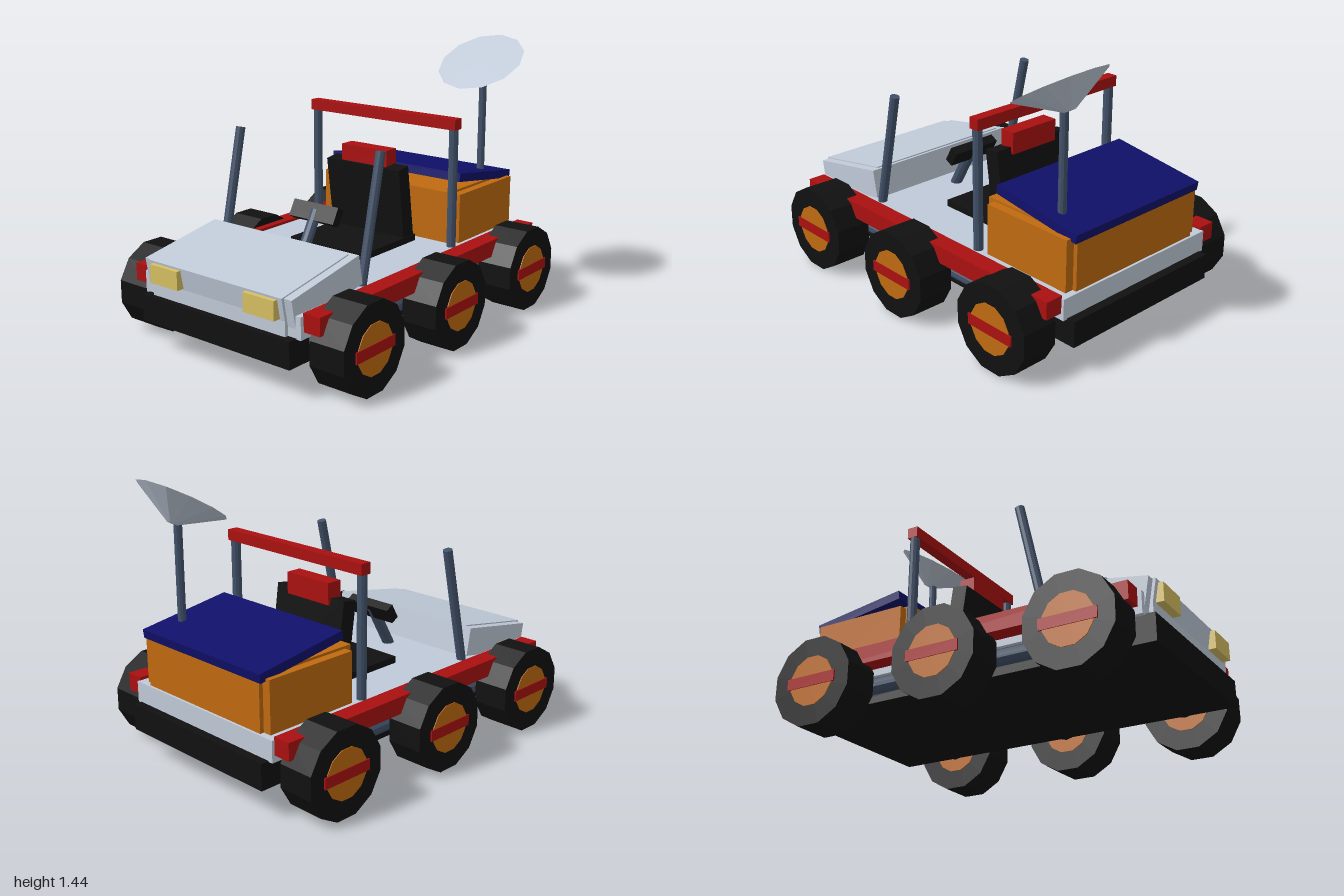
import * as THREE from 'three';

const mat = (name, color) => {
  const m = new THREE.MeshStandardMaterial({ color });
  m.name = name;
  m.flatShading = true;
  return m;
};

export function createModel() {
  const black = mat('black', 0x111111);
  const white = mat('pale grey', 0xc0cad8);
  const red = mat('red', 0xaa1010);
  const orange = mat('orange', 0xc06a10);
  const navy = mat('navy', 0x10106a);
  const steel = mat('steel blue', 0x42526a);
  const yellow = mat('lamp yellow', 0xd8c064);

  const root = new THREE.Group();
  root.name = 'rover';

  const add = (name, geo, material, parent = root) => {
    const m = new THREE.Mesh(geo, material);
    m.name = name;
    parent.add(m);
    return m;
  };
  // Box given by its limits on each axis
  const box = (name, material, [x0, x1], [y0, y1], [z0, z1], parent) => {
    const m = add(name, new THREE.BoxGeometry(x1 - x0, y1 - y0, z1 - z0), material, parent);
    m.position.set((x0 + x1) / 2, (y0 + y1) / 2, (z0 + z1) / 2);
    return m;
  };
  // Box of a given size, tilted about x
  const tilted = (name, material, size, pos, angle) => {
    const m = add(name, new THREE.BoxGeometry(...size), material);
    m.position.set(...pos);
    m.rotation.x = angle;
    return m;
  };
  // Round bar between two points
  const bar = (name, material, a, b, r, sides = 10) => {
    const p = new THREE.Vector3(...a), q = new THREE.Vector3(...b);
    const d = q.clone().sub(p);
    const m = add(name, new THREE.CylinderGeometry(r, r, d.length(), sides), material);
    m.position.copy(p).add(q).multiplyScalar(0.5);
    m.quaternion.setFromUnitVectors(new THREE.Vector3(0, 1, 0), d.normalize());
    return m;
  };
  // Twelve-sided disc with its axis along x and a flat at the bottom
  const disc = (r, w) => new THREE.CylinderGeometry(r, r, w, 12)
    .rotateY(Math.PI / 12).rotateZ(Math.PI / 2);

  // Chassis and deck
  box('chassis', black, [-0.48, 0.48], [0.15, 0.285], [-1, 0.985]);
  box('deck', white, [-0.505, 0.505], [0.28, 0.39], [-0.955, 0.935]);

  // Wheels, axles and side rails
  const wheelRows = [[0.69, 0.632], [0, 0.64], [-0.71, 0.63]];
  for (const [z] of wheelRows) bar('axle', black, [-0.56, 0.222, z], [0.56, 0.222, z], 0.06, 12);
  for (const s of [-1, 1]) {
    for (const [z, x] of wheelRows) {
      const wheel = new THREE.Group();
      wheel.name = 'wheel';
      wheel.position.set(s * x, 0.2225, z);
      add('tyre', disc(0.2304, 0.195), black, wheel);
      add('hub', disc(0.129, 0.203), orange, wheel);
      add('hubBar', new THREE.BoxGeometry(0.211, 0.056, 0.285), red, wheel);
      root.add(wheel);
    }
    const rx = s * 0.55;
    box('sideRail', red, [rx - 0.048, rx + 0.048], [0.315, 0.405], [-0.94, 0.915]);
    bar('lowerTube', steel, [s * 0.485, 0.23, -0.85], [s * 0.485, 0.23, 0.85], 0.04);
    // Front uprights and roll bar posts
    bar('frontUpright', steel, [s * 0.455, 0.385, 0.437], [s * 0.455, 1.015, 0.295], 0.025);
    bar('rollBarPost', steel, [s * 0.455, 0.385, -0.33], [s * 0.455, 1.06, -0.33], 0.025);
    // Headlights
    box('headlight', yellow, [s * 0.308 - 0.094, s * 0.308 + 0.094], [0.365, 0.46], [0.95, 0.997]);
  }
  box('rollBarTop', red, [-0.48, 0.48], [1.018, 1.075], [-0.36, -0.302]);

  // Sloping nose
  const slope = 0.178;
  tilted('hood', white, [0.95, 0.15, 0.485], [0, 0.437, 0.708], slope);
  tilted('hoodPanel', white, [0.86, 0.17, 0.478], [0, 0.43, 0.725], slope);
  box('noseFront', white, [-0.43, 0.43], [0.28, 0.42], [0.85, 0.955]);

  // Steering column and handle
  bar('steeringColumn', steel, [0, 0.38, 0.367], [0, 0.63, 0.225], 0.03);
  tilted('steeringHandle', black, [0.29, 0.09, 0.05], [0, 0.617, 0.23], -0.52);

  // Seat
  box('seatCushion', black, [-0.245, 0.245], [0.385, 0.425], [-0.3, 0.15]);
  tilted('seatBack', black, [0.48, 0.42, 0.085], [0, 0.597, -0.22], 0.14);
  box('headrest', red, [-0.148, 0.148], [0.775, 0.89], [-0.25, -0.165]);

  // Cargo crate with tilted lid
  box('crate', orange, [-0.458, 0.458], [0.385, 0.655], [-0.92, -0.4]);
  box('crateCore', orange, [-0.412, 0.412], [0.385, 0.668], [-0.942, -0.362]);
  tilted('crateLid', navy, [0.864, 0.046, 0.523], [0, 0.699, -0.694], -0.148);

  // Dish antenna: shallow blunt cone facing forward and up
  bar('antennaMast', steel, [0.345, 0.64, -0.78], [0.345, 1.21, -0.78], 0.021);
  const dish = add('antennaDish', new THREE.CylinderGeometry(0.238, 0.028, 0.123, 12), white);
  dish.position.set(0.345, 1.26, -0.782);
  dish.rotation.x = 0.549;

  return root;
}
